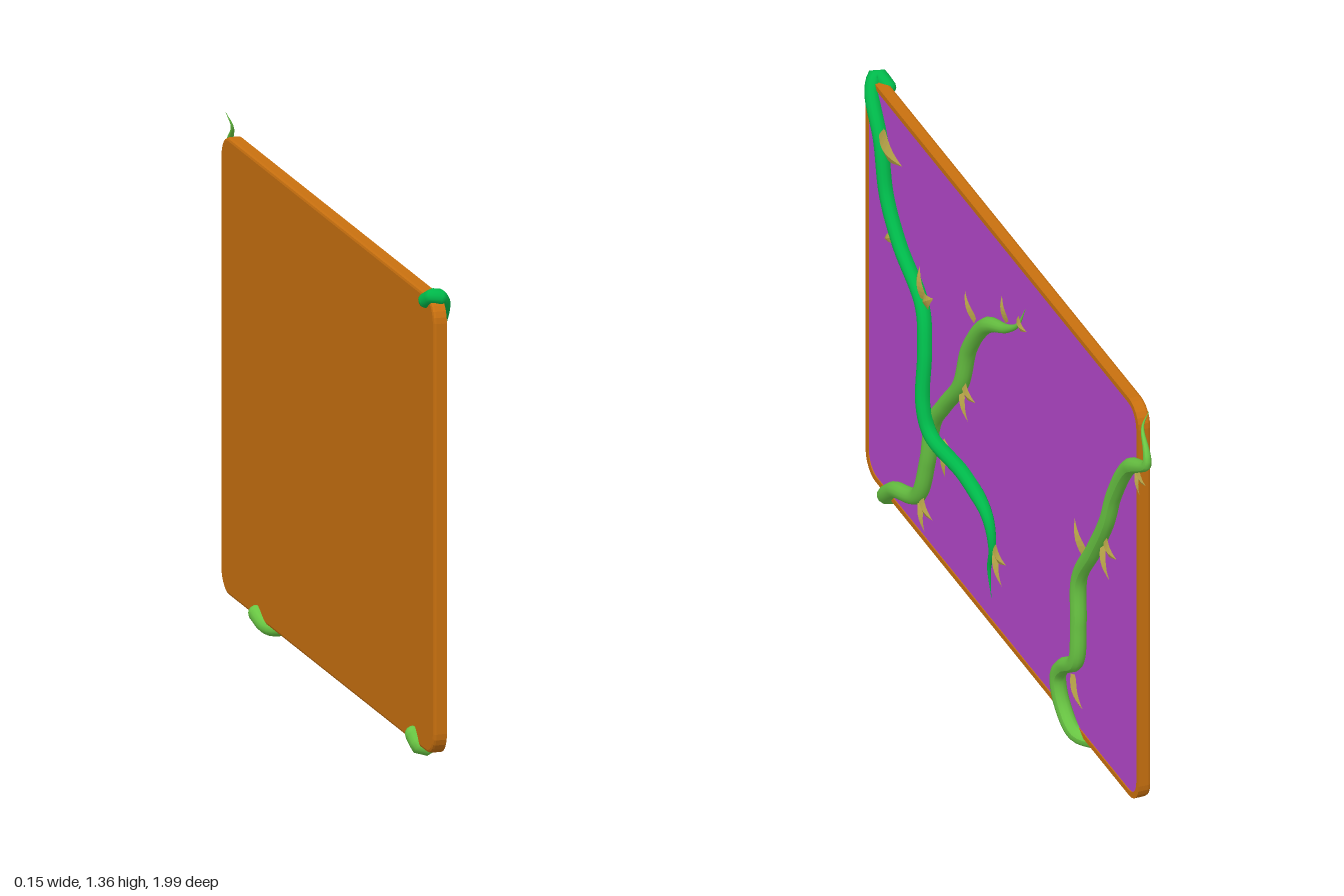
import * as THREE from 'three';

const mat = (color, side = THREE.FrontSide) =>
  new THREE.MeshStandardMaterial({ color, side, roughness: 0.8 });
const V = (a) => new THREE.Vector3(...a);

// Rounded rectangle in (-z, y); few-sided corners come from curveSegments
function roundedRect(target, x0, x1, y0, y1, r) {
  target.moveTo(x0 + r, y0);
  target.lineTo(x1 - r, y0);
  target.absarc(x1 - r, y0 + r, r, -Math.PI / 2, 0);
  target.lineTo(x1, y1 - r);
  target.absarc(x1 - r, y1 - r, r, 0, Math.PI / 2);
  target.lineTo(x0 + r, y1);
  target.absarc(x0 + r, y1 - r, r, Math.PI / 2, Math.PI);
  target.lineTo(x0, y0 + r);
  target.absarc(x0 + r, y0 + r, r, Math.PI, Math.PI * 1.5);
  return target;
}

// Tube whose radius shrinks to a point from parameter `taper` onwards
function vine(name, points, radius, taper, material) {
  const curve = new THREE.CatmullRomCurve3(points.map(V), false, 'centripetal');
  const rings = 120, sides = 12;
  const geo = new THREE.TubeGeometry(curve, rings, radius, sides);
  const pos = geo.attributes.position, p = new THREE.Vector3();
  for (let i = 0; i <= rings; i++) {
    const u = i / rings, c = curve.getPointAt(u);
    const s = u < taper ? 1 : Math.max(0.03, 1 - (u - taper) / (1 - taper));
    for (let j = 0; j <= sides; j++) {
      const k = i * (sides + 1) + j;
      p.fromBufferAttribute(pos, k).sub(c).multiplyScalar(s).add(c);
      pos.setXYZ(k, p.x, p.y, p.z);
    }
  }
  geo.computeVertexNormals();
  const group = new THREE.Group();
  group.name = name;
  const stem = new THREE.Mesh(geo, material);
  stem.name = name + 'Stem';
  // Rounded butt of the stem
  const end = new THREE.Mesh(new THREE.SphereGeometry(radius, 12, 8), material);
  end.name = name + 'End';
  end.position.copy(curve.getPoint(0));
  group.add(stem, end);
  return group;
}

// Pointed leaf of unit length along +x, folded at the midrib
function leafGeometry() {
  const geo = new THREE.PlaneGeometry(1, 1, 8, 2).toNonIndexed();
  const pos = geo.attributes.position;
  for (let i = 0; i < pos.count; i++) {
    const u = pos.getX(i) + 0.5, v = pos.getY(i) * 2;
    const w = 0.23 * Math.sin(Math.PI * Math.pow(u, 0.62)) * (1 - 0.25 * u);
    pos.setXYZ(i, u, v * w * 1.05, Math.sin(u * Math.PI) * 0.12 - Math.abs(v) * w * 0.45);
  }
  geo.computeVertexNormals();
  return geo;
}

export function createModel() {
  const model = new THREE.Group();
  model.name = 'vineBoard';
  const orange = mat(0xc8700f), purple = mat(0xb347c9);
  const lime = mat(0x69c643), green = mat(0x00b84a);
  const leafMat = mat(0xb8a548, THREE.DoubleSide);

  // Board: bevelled backing, rim and inset panel, all facing +x
  const board = new THREE.Group();
  board.name = 'board';
  board.rotation.y = Math.PI / 2;
  const bevel = 0.008;
  const rect = (inset, r) =>
    roundedRect(new THREE.Shape(), -1 + inset, 0.85 - inset, 0.035 + inset, 1.33 - inset, r);
  const add = (name, geo, material, z) => {
    const mesh = new THREE.Mesh(geo, material);
    mesh.name = name;
    mesh.position.z = z;
    board.add(mesh);
  };
  add('backing', new THREE.ExtrudeGeometry(rect(bevel, 0.058), {
    depth: 0.016, bevelEnabled: true, bevelSize: bevel, bevelThickness: bevel,
    bevelSegments: 2, curveSegments: 3 }), orange, -0.044);
  const rim = rect(0, 0.066);
  rim.holes.push(roundedRect(new THREE.Path(), -0.984, 0.834, 0.051, 1.314, 0.055));
  add('rim', new THREE.ExtrudeGeometry(rim, {
    depth: 0.022, bevelEnabled: false, curveSegments: 3 }), orange, -0.036);
  add('panel', new THREE.ShapeGeometry(rect(0.014, 0.055), 3), purple, -0.017);
  model.add(board);

  // Vines, each hooked around the edge of the board
  model.add(vine('darkVine', [
    [-0.052, 1.315, 0.93], [-0.035, 1.338, 0.97], [-0.008, 1.31, 0.945], [0.006, 1.2, 0.853],
    [0.012, 1.056, 0.8], [0.012, 0.95, 0.714], [0.014, 0.842, 0.553], [0.03, 0.735, 0.5],
    [0.052, 0.586, 0.463], [0.048, 0.51, 0.42], [0.022, 0.473, 0.25], [0.014, 0.42, 0.115],
    [0.012, 0.334, 0.083], [0.012, 0.254, 0.104], [0.01, 0.163, 0.094]], 0.021, 0.8, green));
  model.add(vine('middleVine', [
    [-0.055, 0.06, 0.83], [-0.04, 0.026, 0.86], [-0.008, 0.04, 0.85], [0.008, 0.12, 0.757],
    [0.014, 0.21, 0.58], [0.014, 0.36, 0.516], [0.014, 0.505, 0.479], [0.014, 0.612, 0.398],
    [0.014, 0.746, 0.29], [0.014, 0.896, 0.233], [0.014, 1.04, 0.115], [0.014, 1.11, -0.02],
    [0.012, 1.163, -0.09], [0.005, 1.233, -0.126]], 0.023, 0.82, lime));
  model.add(vine('rearVine', [
    [-0.055, 0.05, -0.53], [-0.04, 0.025, -0.475], [-0.008, 0.032, -0.435], [0.008, 0.104, -0.377],
    [0.014, 0.185, -0.366], [0.014, 0.238, -0.404], [0.014, 0.307, -0.49], [0.014, 0.44, -0.505],
    [0.014, 0.586, -0.51], [0.014, 0.735, -0.607], [0.014, 0.885, -0.698], [0.014, 1.0, -0.746],
    [0.014, 1.152, -0.848], [0.016, 1.238, -0.975], [0.014, 1.275, -0.965],
    [0.005, 1.324, -0.92], [-0.015, 1.366, -0.917]], 0.023, 0.84, lime));

  // Leaves: base z, base y, tip z, tip y
  const leaves = [
    [0.85, 1.225, 0.68, 1.222], [0.74, 0.955, 0.8, 0.917], [0.74, 0.955, 0.78, 0.97],
    [0.553, 0.853, 0.559, 0.97], [0.553, 0.853, 0.468, 0.917], [0.291, 0.746, 0.184, 0.746],
    [0.302, 0.73, 0.233, 0.655], [0.206, 0.992, 0.254, 1.072], [0.409, 0.495, 0.388, 0.382],
    [0.58, 0.206, 0.473, 0.19], [0.58, 0.206, 0.527, 0.12], [0.078, 0.334, -0.024, 0.34],
    [0.078, 0.334, 0.003, 0.254], [-0.008, 1.12, 0.003, 1.206], [-0.08, 1.174, -0.163, 1.185],
    [-0.553, 0.666, -0.489, 0.773], [-0.671, 0.805, -0.773, 0.805], [-0.65, 0.783, -0.725, 0.709],
    [-0.447, 0.238, -0.543, 0.179], [-0.89, 1.174, -0.97, 1.163], [-0.89, 1.174, -0.928, 1.11]];
  const geo = leafGeometry();
  const foliage = new THREE.Group();
  foliage.name = 'leaves';
  leaves.forEach(([z0, y0, z1, y1]) => {
    const leaf = new THREE.Mesh(geo, leafMat);
    leaf.name = 'leaf';
    const along = new THREE.Vector3(0.006, y1 - y0, z1 - z0);
    const length = along.length();
    along.normalize();
    const across = new THREE.Vector3(1, 0, 0).cross(along).normalize();
    const out = along.clone().cross(across);
    leaf.quaternion.setFromRotationMatrix(new THREE.Matrix4().makeBasis(along, across, out));
    leaf.position.set(0.012, y0, z0);
    leaf.scale.setScalar(length);
    foliage.add(leaf);
  });
  model.add(foliage);
  return model;
}
